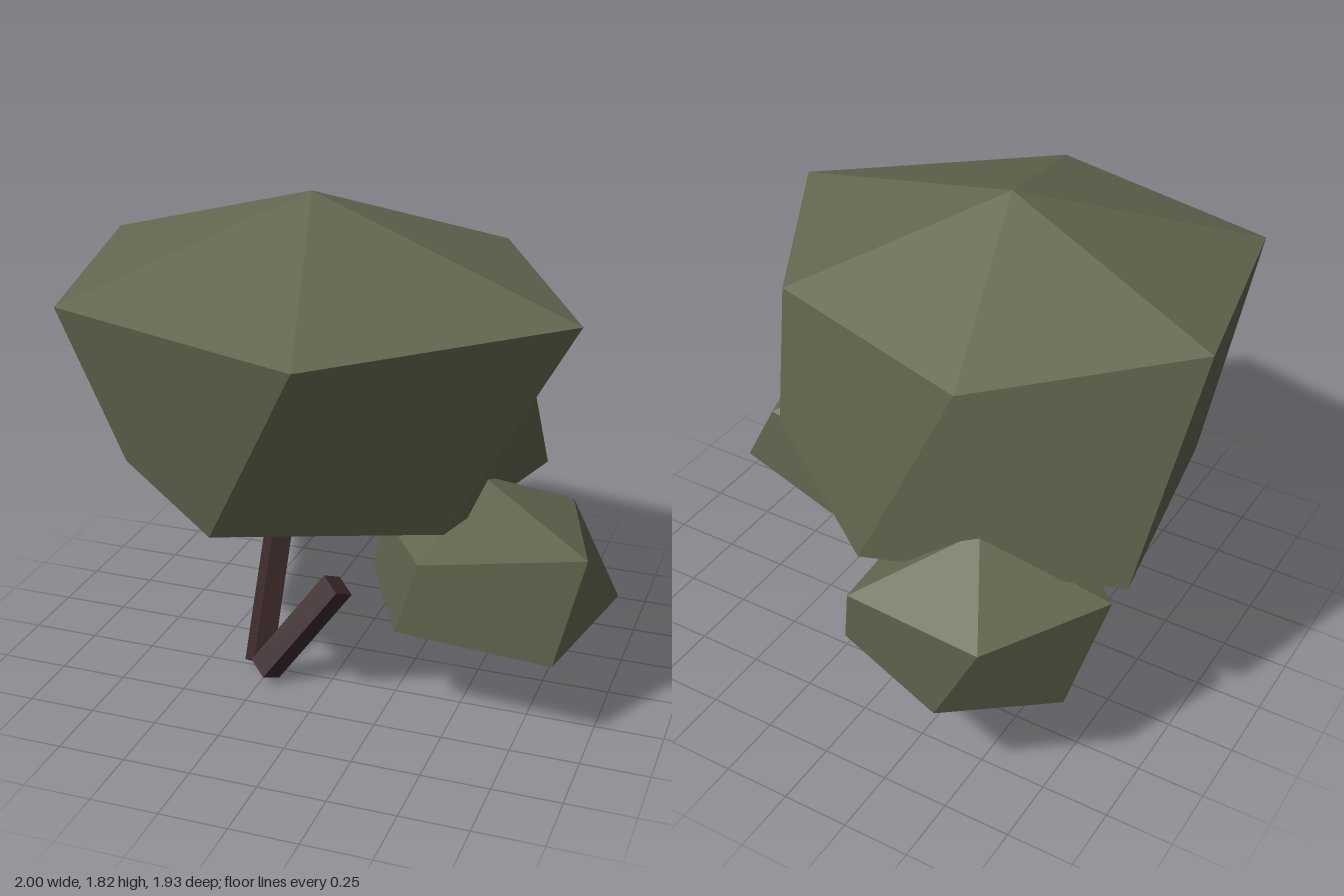
import * as THREE from 'three';

const leaf = new THREE.MeshStandardMaterial({ color: 0x62674f });
leaf.name = 'dull green leaf';
const bark = new THREE.MeshStandardMaterial({ color: 0x3c2a2c });
bark.name = 'dark brown bark';

// Flat normal of a facet, from its two diagonals (or two triangle sides)
function facetNormal(a, b, c, d) {
  const p = new THREE.Vector3(...c).sub(new THREE.Vector3(...a));
  const q = new THREE.Vector3(...d).sub(new THREE.Vector3(...b));
  return p.cross(q).normalize().toArray();
}

// Faceted leaf clump: top point, upper ring, twisted lower ring, bottom point.
// Rings run from the left side towards the front, then right and back.
function clump(name, top, upper, lower, bottom) {
  const pos = [];
  const nor = [];
  const addFacet = (normal, ...corners) => {
    for (const corner of corners) {
      pos.push(...corner);
      nor.push(...normal);
    }
  };
  const n = upper.length;
  for (let i = 0; i < n; i++) {
    const j = (i + 1) % n;
    const [a, b, c, d] = [upper[i], lower[i], lower[j], upper[j]];
    addFacet(facetNormal(top, top, a, d), top, a, d);
    addFacet(facetNormal(a, b, c, d), a, b, d, b, c, d);
    addFacet(facetNormal(bottom, bottom, c, b), bottom, c, b);
  }
  const geo = new THREE.BufferGeometry();
  geo.setAttribute('position', new THREE.Float32BufferAttribute(pos, 3));
  geo.setAttribute('normal', new THREE.Float32BufferAttribute(nor, 3));
  const mesh = new THREE.Mesh(geo, leaf);
  mesh.name = name;
  return mesh;
}

// Square-cut trunk running between two points, spun about its own axis
function trunk(name, from, to, side, spin) {
  const a = new THREE.Vector3(...from);
  const b = new THREE.Vector3(...to);
  const dir = b.clone().sub(a);
  const mesh = new THREE.Mesh(new THREE.BoxGeometry(side, dir.length(), side), bark);
  mesh.position.copy(a).add(b).multiplyScalar(0.5);
  mesh.quaternion.setFromUnitVectors(new THREE.Vector3(0, 1, 0), dir.normalize());
  mesh.rotateY(spin);
  mesh.name = name;
  return mesh;
}

export function createModel() {
  const group = new THREE.Group();
  group.name = 'tree';

  // Large crown
  group.add(clump('mainCrown', [-0.14, 1.83, 0.05],
    [[-1, 1.57, -0.16], [-0.82, 1.53, 0.70], [0.13, 1.50, 0.96],
      [0.89, 1.52, 0.29], [0.43, 1.56, -0.51], [-0.36, 1.51, -0.70]],
    [[-0.91, 0.81, -0.50], [-0.78, 0.82, 0.32], [-0.24, 0.81, 0.79],
      [0.48, 0.78, 0.45], [0.67, 0.78, -0.28], [-0.03, 0.78, -0.79]],
    [-0.14, 0.53, 0.03]));

  // Small side clump
  group.add(clump('sideClump', [0.52, 0.86, 0.10],
    [[0.42, 0.70, 0.55], [0.95, 0.68, 0.29], [0.80, 0.70, -0.16],
      [0.35, 0.68, -0.22], [0.19, 0.69, 0.20]],
    [[0.30, 0.36, 0.43], [0.88, 0.35, 0.47], [1.0, 0.37, -0.08],
      [0.50, 0.36, -0.22], [0.07, 0.38, -0.01]],
    [0.52, 0.20, 0.10]));

  // Small rear clump
  group.add(clump('rearClump', [-0.40, 0.91, -0.60],
    [[-0.87, 0.75, -0.53], [-0.50, 0.71, -0.16], [-0.03, 0.70, -0.42],
      [-0.07, 0.72, -0.92], [-0.61, 0.74, -0.97]],
    [[-0.79, 0.40, -0.70], [-0.63, 0.40, -0.26], [-0.09, 0.41, -0.31],
      [0.05, 0.37, -0.78], [-0.44, 0.40, -0.97]],
    [-0.40, 0.25, -0.60]));

  // Forked trunk
  group.add(trunk('rearTrunk', [-0.29, 0.04, 0.27], [-0.32, 0.45, -0.02], 0.08, Math.PI / 4));
  group.add(trunk('sideTrunk', [-0.24, 0.05, 0.33], [0.03, 0.42, 0.27], 0.09, -Math.PI / 6));

  return group;
}
